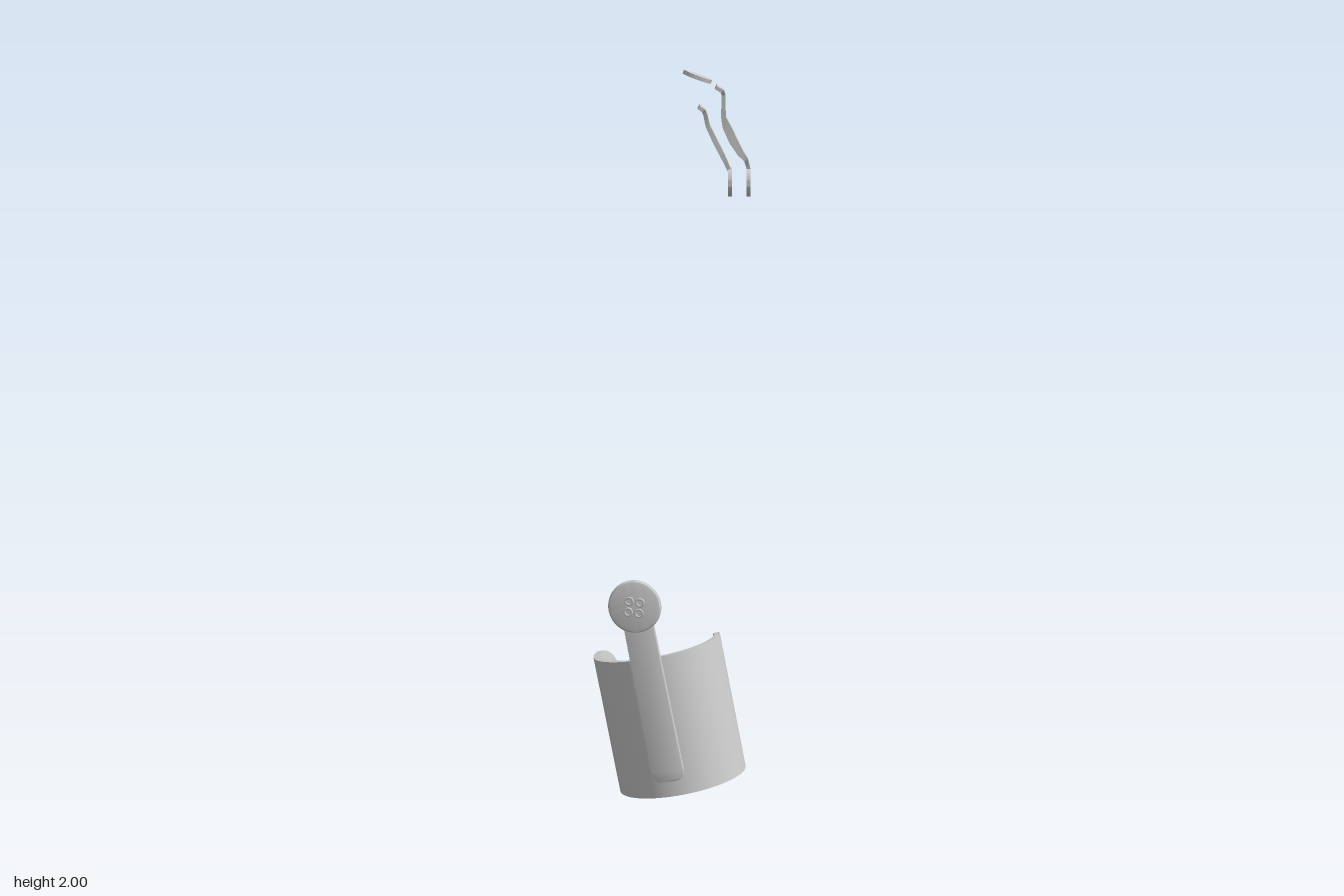
import * as THREE from 'three';
import { toCreasedNormals } from 'three/addons/utils/BufferGeometryUtils.js';

export function createModel() {
  const model = new THREE.Group();
  const grey = new THREE.MeshStandardMaterial({ color: 0xcccccc });
  grey.name = 'light grey';

  const add = (parent, name, geometry, x = 0, y = 0, z = 0) => {
    const mesh = new THREE.Mesh(geometry, grey);
    mesh.name = name;
    mesh.position.set(x, y, z);
    parent.add(mesh);
    return mesh;
  };
  const crease = (g, angle = 0.6) => toCreasedNormals(g, angle);

  // Tilted assembly: cuff, bar and round pad share one leaning axis
  const brace = new THREE.Group();
  brace.name = 'brace';
  const bottom = new THREE.Vector3(0.035, 0.045, 0.055);
  const axis = new THREE.Vector3(-0.04, 0.425, 0.015).sub(bottom);
  const height = axis.length();
  brace.position.copy(bottom);
  brace.quaternion.setFromUnitVectors(new THREE.Vector3(0, 1, 0), axis.normalize());
  model.add(brace);

  // Cuff: a plate with rounded corners, bent round the axis
  const radius = 0.172, thickness = 0.016, corner = 0.075;
  const from = THREE.MathUtils.degToRad(-131), to = THREE.MathUtils.degToRad(117);
  const cuff = new THREE.BoxGeometry(1, 1, 1, 96, 8, 1);
  const p = cuff.attributes.position;
  for (let i = 0; i < p.count; i++) {
    const u = p.getX(i) + 0.5;
    const s = 0.35 * u + 0.65 * (0.5 - 0.5 * Math.cos(Math.PI * u)); // finer near the ends
    const theta = from + (to - from) * s;
    const d = Math.min(corner, radius * Math.min(theta - from, to - theta));
    const half = height / 2 - corner + Math.sqrt(Math.max(0, corner ** 2 - (corner - d) ** 2));
    const r = radius + p.getZ(i) * thickness;
    p.setXYZ(i, r * Math.sin(theta), height / 2 + p.getY(i) * 2 * half, r * Math.cos(theta));
  }
  add(brace, 'cuff', crease(cuff));

  // Upright carrying the bar and the pad, turned slightly to the right
  const upright = new THREE.Group();
  upright.name = 'upright';
  upright.rotation.y = THREE.MathUtils.degToRad(-7.5);
  brace.add(upright);

  // Flat bar with a rounded lower end
  const w = 0.042, low = 0.047, top = 0.539, r = 0.028;
  const shape = new THREE.Shape();
  shape.moveTo(w - 0.004, top);
  shape.lineTo(-w + 0.004, top);
  shape.lineTo(-w, low + r);
  shape.quadraticCurveTo(-w, low, -w + r, low);
  shape.lineTo(w - r, low);
  shape.quadraticCurveTo(w, low, w, low + r);
  shape.closePath();
  const bar = new THREE.ExtrudeGeometry(shape, {
    depth: 0.01, bevelThickness: 0.003, bevelSize: 0.003, bevelSegments: 2, curveSegments: 8,
  });
  add(upright, 'bar', crease(bar), 0, 0, 0.176);

  // Round pad at the top of the bar
  const pad = new THREE.Group();
  pad.name = 'pad';
  pad.position.set(0, top, 0.183);
  upright.add(pad);
  const profile = [[0, -0.009], [0.066, -0.009], [0.071, -0.006], [0.073, -0.001], [0.073, 0.004],
    [0.069, 0.009], [0.06, 0.011], [0, 0.012]].map(([x, y]) => new THREE.Vector2(x, y));
  const padDisc = new THREE.LatheGeometry(profile, 48);
  padDisc.rotateX(Math.PI / 2);
  add(pad, 'padDisc', crease(padDisc));
  for (let i = 0; i < 4; i++) {
    const a = 0.5 + i * Math.PI / 2;
    add(pad, 'frontStud', new THREE.TorusGeometry(0.01, 0.003, 6, 16),
      0.021 * Math.cos(a), 0.021 * Math.sin(a), 0.012);
  }
  add(pad, 'backRim', new THREE.TorusGeometry(0.055, 0.004, 8, 40), 0, 0, -0.009);
  add(pad, 'backHub', new THREE.TorusGeometry(0.018, 0.004, 8, 24), 0, 0, -0.009);
  for (let i = 0; i < 6; i++) {
    const a = i * Math.PI / 3;
    const rib = add(pad, 'backRib', new THREE.BoxGeometry(0.03, 0.006, 0.006),
      0.036 * Math.cos(a), 0.036 * Math.sin(a), -0.01);
    rib.rotation.z = a;
  }

  // Rivets through the bar, seen inside the cuff
  for (const y of [0.1, 0.19, 0.28]) {
    for (const x of [-0.026, 0.026]) {
      const head = new THREE.CylinderGeometry(0.011, 0.009, 0.006, 16);
      head.rotateX(Math.PI / 2);
      add(upright, 'rivet', crease(head), x, y, 0.161);
      add(upright, 'rivetRing', new THREE.TorusGeometry(0.008, 0.002, 6, 16), x, y, 0.158);
    }
  }

  // Separate clips above: sections of [x, y, thickness, width], bottom to top
  const clips = new THREE.Group();
  clips.name = 'clips';
  clips.position.z = -0.206;
  model.add(clips);

  const strap = (rows) => {
    const g = new THREE.BoxGeometry(1, 1, 1, 1, rows.length - 1, 1);
    const v = g.attributes.position;
    for (let i = 0; i < v.count; i++) {
      const j = Math.round((v.getY(i) + 0.5) * (rows.length - 1));
      const [x, y, t, width] = rows[j];
      const a = rows[Math.max(0, j - 1)], b = rows[Math.min(rows.length - 1, j + 1)];
      const tx = b[0] - a[0], ty = b[1] - a[1], len = Math.hypot(tx, ty);
      const off = v.getX(i) * t / len;
      v.setXYZ(i, x + ty * off, y - tx * off, v.getZ(i) * width);
    }
    return crease(g, 0.4);
  };
  const disc = (name, x, y, turn, radius = 0.041) => {
    const g = new THREE.CylinderGeometry(radius, radius, 0.011, 40);
    const mesh = add(clips, name, crease(g), x, y, 0);
    mesh.rotation.z = turn;
  };

  add(clips, 'outerClip', strap([
    [0.21, 1.7, 0.01, 0.035], [0.21, 1.732, 0.01, 0.035], [0.203, 1.757, 0.012, 0.056],
    [0.188, 1.775, 0.018, 0.056], [0.167, 1.81, 0.024, 0.05], [0.148, 1.85, 0.022, 0.052],
    [0.14, 1.875, 0.013, 0.056], [0.14, 1.935, 0.011, 0.064], [0.136, 1.946, 0.011, 0.08],
    [0.119, 1.956, 0.01, 0.08],
  ]));
  disc('outerClipDisc', 0.21, 1.695, Math.PI / 2);

  add(clips, 'innerClip', strap([
    [0.159, 1.7, 0.01, 0.035], [0.158, 1.725, 0.01, 0.035], [0.147, 1.75, 0.012, 0.046],
    [0.132, 1.78, 0.014, 0.046], [0.114, 1.815, 0.014, 0.044], [0.097, 1.85, 0.012, 0.046],
    [0.09, 1.882, 0.011, 0.058], [0.085, 1.893, 0.011, 0.072], [0.072, 1.902, 0.01, 0.072],
  ]));
  disc('innerClipDisc', 0.159, 1.695, Math.PI / 2);

  // Loose tilted disc on top
  disc('topDisc', 0.068, 1.983, -0.35);

  return model;
}
